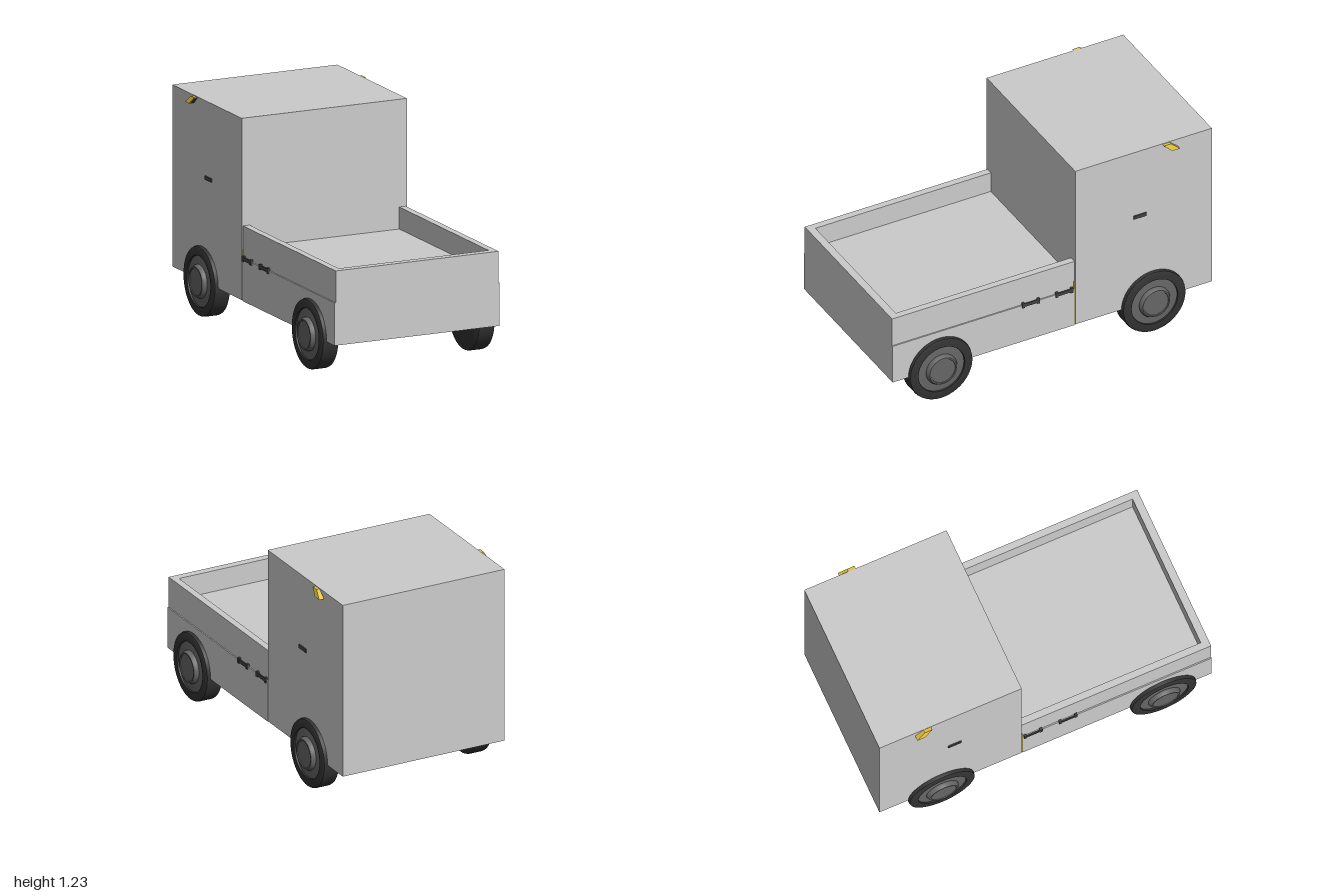
import * as THREE from 'three';
import { toCreasedNormals } from 'three/addons/utils/BufferGeometryUtils.js';

const paint = (color) => new THREE.MeshStandardMaterial({ color });
const BODY = paint(0xcccccc), TYRE = paint(0x333333), METAL = paint(0x666666);
const DARK = paint(0x444444), YELLOW = paint(0xe0c040);

export function createModel() {
  const model = new THREE.Group();

  const add = (name, geometry, material, parent = model) => {
    const mesh = new THREE.Mesh(geometry, material);
    mesh.name = name;
    parent.add(mesh);
    return mesh;
  };
  // Box given by its limits on each axis
  const box = (name, [x0, x1], [y0, y1], [z0, z1], material = BODY, parent = model) => {
    const g = new THREE.BoxGeometry(x1 - x0, y1 - y0, z1 - z0);
    g.translate((x0 + x1) / 2, (y0 + y1) / 2, (z0 + z1) / 2);
    return add(name, g, material, parent);
  };
  // Lathe of [radius, position] points turned so its axis is x
  const turned = (profile, segments = 48) => {
    const g = new THREE.LatheGeometry(profile.map(([r, a]) => new THREE.Vector2(r, a)), segments);
    return toCreasedNormals(g.rotateZ(-Math.PI / 2), 0.6);
  };

  // Cab and the thin yellow panel between cab and bed
  box('cab', [-0.507, 0.507], [0.2, 1.23], [-1, -0.144]);
  box('divider', [-0.503, 0.503], [0.2, 0.49], [-0.144, -0.138], YELLOW);

  // Cargo bed: wider lower body, then a low wall on three sides
  box('lowerBody', [-0.507, 0.507], [0.197, 0.44], [-0.138, 1]);
  box('bedFloor', [-0.46, 0.46], [0.44, 0.495], [-0.144, 0.955]);
  const wall = new THREE.Shape();
  [[-0.5, 0.144], [-0.5, -1], [0.5, -1], [0.5, 0.144],
    [0.46, 0.144], [0.46, -0.955], [-0.46, -0.955], [-0.46, 0.144]]
    .forEach(([x, y], i) => (i ? wall.lineTo(x, y) : wall.moveTo(x, y)));
  const wallGeometry = new THREE.ExtrudeGeometry(wall, { depth: 0.18, bevelEnabled: false });
  wallGeometry.rotateX(-Math.PI / 2).translate(0, 0.44, 0);
  add('bedWall', wallGeometry, BODY);

  // Wheels, axles and differentials
  const tyre = turned([[0, 0.43], [0.185, 0.43], [0.194, 0.434], [0.197, 0.443], [0.197, 0.517],
    [0.194, 0.526], [0.185, 0.53], [0.145, 0.53], [0.142, 0.515]]);
  const rim = turned([[0.146, 0.521], [0.095, 0.524], [0.095, 0.532], [0.085, 0.55],
    [0.077, 0.55], [0.075, 0.546], [0, 0.546]]);
  const differential = turned([[0, -0.146], [0.03, -0.146], [0.065, -0.115],
    [0.065, 0.115], [0.03, 0.146], [0, 0.146]], 32);
  const axle = turned([[0, -0.44], [0.026, -0.44], [0.026, 0.44], [0, 0.44]], 24);
  for (const [end, z] of [['front', 0.705], ['rear', -0.63]]) {
    const set = new THREE.Group();
    set.name = end + 'Axle';
    set.position.set(0, 0.2, z);
    model.add(set);
    add('axleTube', axle, DARK, set);
    add('differential', differential, DARK, set);
    for (const [side, turn] of [['Left', 0], ['Right', Math.PI]]) {
      const wheel = new THREE.Group();
      wheel.name = end + side + 'Wheel';
      wheel.rotation.y = turn;
      add('tyre', tyre, TYRE, wheel);
      add('rim', rim, METAL, wheel);
      set.add(wheel);
    }
  }
  const shaft = new THREE.CylinderGeometry(0.025, 0.025, 1.335, 24).rotateX(Math.PI / 2);
  add('driveShaft', shaft, DARK).position.set(0, 0.198, 0.0375);

  // Slanted lamp housing: quadrilateral in z, y; outer side leans out downwards
  const outline = [[-0.69, 1.226], [-0.735, 1.226], [-0.785, 1.185], [-0.735, 1.185]];
  const lampGeometry = (s) => {
    const p = outline.flatMap(([z, y]) => [[0.5, y, z], [y > 1.2 ? 0.525 : 0.537, y, z]])
      .map(([x, y, z]) => [x * s, y, z]);
    const quads = [[1, 7, 5, 3], [0, 2, 4, 6]];
    for (let i = 0; i < 4; i++) {
      const a = 2 * i, b = 2 * ((i + 1) % 4);
      quads.push([a, a + 1, b + 1, b]);
    }
    const positions = [];
    for (const q of quads) {
      const [a, b, c, d] = s > 0 ? q : [...q].reverse();
      for (const i of [a, b, c, a, c, d]) positions.push(...p[i]);
    }
    const g = new THREE.BufferGeometry();
    g.setAttribute('position', new THREE.Float32BufferAttribute(positions, 3));
    g.computeVertexNormals();
    return g;
  };

  // Handles and lamps on both sides
  for (const [side, s] of [['left', 1], ['right', -1]]) {
    const across = (a, b) => (s > 0 ? [a, b] : [-b, -a]);
    for (const z of [0.135, -0.075]) {
      const handle = new THREE.Group();
      handle.name = side + 'BedHandle';
      model.add(handle);
      box('grip', across(0.507, 0.514), [0.43, 0.45], [z - 0.045, z + 0.045], DARK, handle);
      for (const e of [-0.047, 0.047]) {
        box('mount', across(0.495, 0.515), [0.424, 0.455], [z + e - 0.008, z + e + 0.008], DARK, handle);
      }
    }
    box(side + 'DoorHandle', across(0.5, 0.514), [0.785, 0.806], [-0.588, -0.508], DARK);

    const lamp = new THREE.Group();
    lamp.name = side + 'Lamp';
    model.add(lamp);
    const housing = add('housing', lampGeometry(s), YELLOW, lamp);
    housing.material = YELLOW;
    // Dark lens on the forward slanted face
    const lens = add('lens', new THREE.BoxGeometry(0.02, 0.052, 0.003), DARK, lamp);
    lens.position.set(s * 0.517, 1.2055, -0.7125);
    lens.rotation.x = Math.atan2(0.045, 0.041);
  }
  return model;
}
